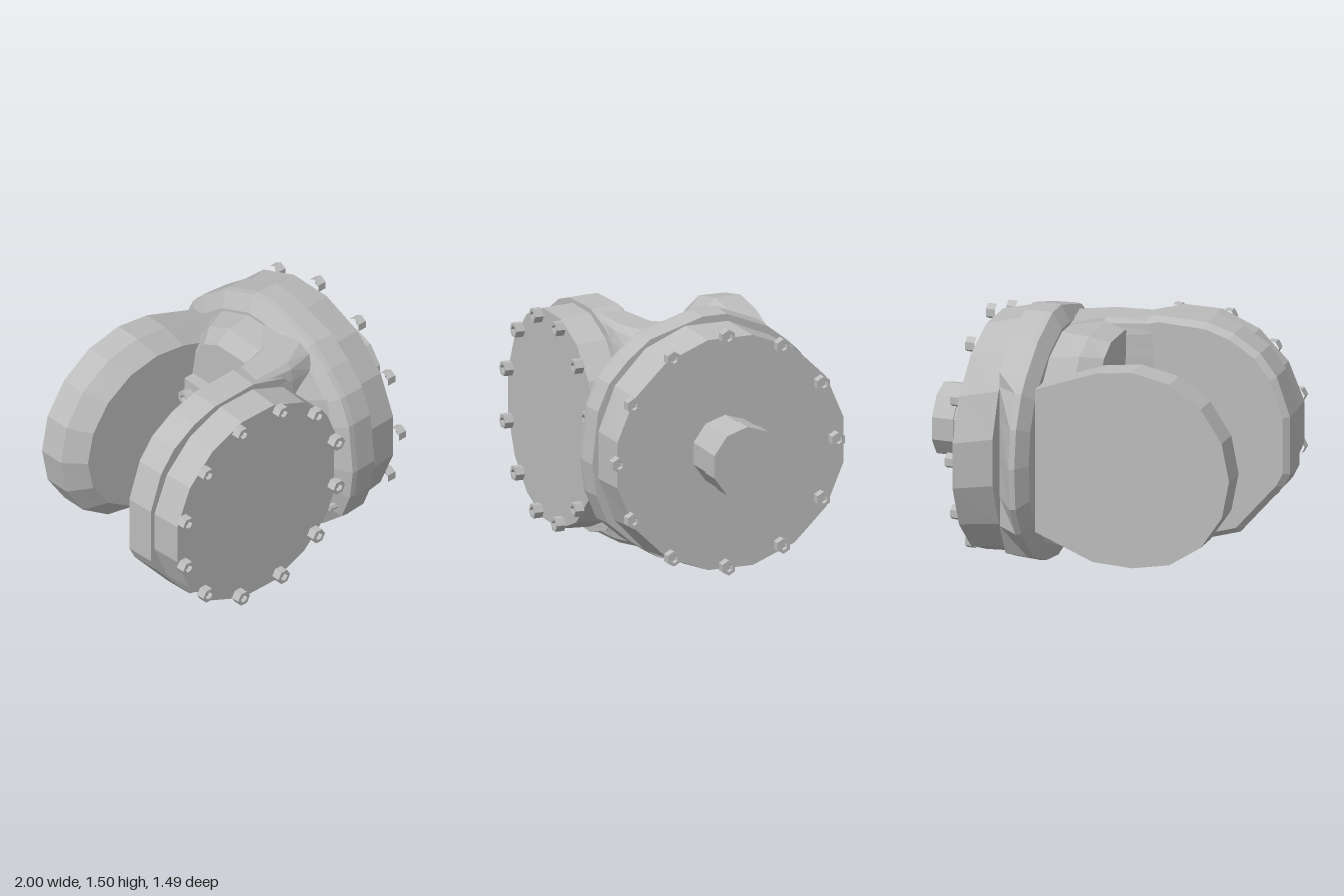
import * as THREE from 'three';

const CY = 0.745; // height of the shaft axis

// Uneven cast outlines: flange as [z, y], drum as [x, y]
const FLANGE = [
  [0.05, 1.5], [0.38, 1.4], [0.52, 1.29], [0.64, 1.16], [0.71, 1.0], [0.745, 0.69], [0.72, 0.5], [0.65, 0.33],
  [0.5, 0.2], [0.33, 0.09], [0.17, 0.04], [0, 0], [-0.2, 0.03], [-0.42, 0.12], [-0.62, 0.32], [-0.72, 0.5],
  [-0.74, 0.75], [-0.71, 0.98], [-0.62, 1.17], [-0.53, 1.26], [-0.35, 1.4], [-0.1, 1.5],
];
const DRUM = [
  [0.335, 0.72], [0.3, 0.98], [0.2, 1.19], [0.03, 1.35], [-0.2, 1.42], [-0.5, 1.41], [-0.66, 1.36], [-0.82, 1.26],
  [-0.92, 1.13], [-1, 0.9], [-1, 0.55], [-0.96, 0.47], [-0.7, 0.17], [-0.42, 0.085], [-0.2, 0.08], [0.03, 0.15],
  [0.2, 0.3], [0.3, 0.5],
];

// Skin a list of rings (each counter-clockwise seen from the last ring's side), with flat end caps
function loft(rings) {
  const pos = [];
  const tri = (a, b, c) => pos.push(...a, ...b, ...c);
  const n = rings[0].length;
  for (let i = 0; i < rings.length - 1; i++) {
    for (let j = 0; j < n; j++) {
      const k = (j + 1) % n;
      const [a, b, c, d] = [rings[i][j], rings[i][k], rings[i + 1][k], rings[i + 1][j]];
      tri(a, b, c);
      tri(a, c, d);
    }
  }
  const first = rings[0], last = rings[rings.length - 1];
  for (let j = 1; j < n - 1; j++) {
    tri(first[0], first[j + 1], first[j]);
    tri(last[0], last[j], last[j + 1]);
  }
  const g = new THREE.BufferGeometry();
  g.setAttribute('position', new THREE.Float32BufferAttribute(pos, 3));
  g.computeVertexNormals();
  return g;
}

// Superellipse ring across the x axis; a higher power gives a boxier section
function ringX(x, halfHeight, zMin, zMax, power = 2, cy = CY) {
  const n = 16, pts = [];
  const bend = (v) => Math.sign(v) * Math.pow(Math.abs(v), 2 / power);
  for (let i = 0; i < n; i++) {
    const a = ((i + 0.5) / n) * Math.PI * 2;
    const z = (zMin + zMax) / 2 + bend(Math.sin(a)) * (zMax - zMin) / 2;
    pts.push([x, cy + bend(Math.cos(a)) * halfHeight, z]);
  }
  return pts;
}

function lathe(profile, sides) {
  return new THREE.LatheGeometry(profile.map(([r, y]) => new THREE.Vector2(r, y)), sides, Math.PI / sides);
}

export function createModel() {
  const model = new THREE.Group();
  const metal = new THREE.MeshStandardMaterial({ color: 0xbcbcbc, flatShading: true });
  metal.name = 'cast grey metal';
  const add = (name, geometry, x = 0, y = 0, z = 0, parent = model) => {
    const mesh = new THREE.Mesh(geometry, metal);
    mesh.name = name;
    mesh.position.set(x, y, z);
    parent.add(mesh);
    return mesh;
  };

  // Housing that joins the two arms to the flange
  add('housing', loft([
    ringX(-0.03, 0.6, -0.27, 0.42, 3),
    ringX(0.09, 0.635, -0.4, 0.53, 2.8),
    ringX(0.25, 0.65, -0.54, 0.65, 2.3),
    ringX(0.32, 0.7, -0.68, 0.7, 2.1),
  ]));

  // Straight neck running level from the top and bottom of the drum into the flange
  add('neck', loft([
    ringX(-0.25, 0.66, 0.27, 0.455, 8),
    ringX(0.1, 0.65, 0.16, 0.465, 7),
    ringX(0.3, 0.65, -0.15, 0.45, 5),
    ringX(0.47, 0.66, -0.25, 0.43, 4),
  ]));

  // Side flange, cut away on its rear edge, and its cover
  const flangeRing = (x, s, rearLimit = -1) =>
    FLANGE.map(([z, y]) => [x, 0.75 + (y - 0.75) * s, Math.max(z * s, rearLimit)]);
  add('sideFlange', loft([
    flangeRing(0.25, 0.87), flangeRing(0.305, 0.995), flangeRing(0.34, 1), flangeRing(0.475, 0.99, -0.52),
  ]));
  add('sideCover', loft([
    ringX(0.47, 0.72, -0.66, 0.715),
    ringX(0.68, 0.695, -0.75, 0.685, 2, 0.73),
  ]));

  // Shaft hub
  const hub = lathe([[0, 0], [0.208, 0], [0.208, 0.19], [0.217, 0.19], [0.217, 0.32], [0, 0.32]], 10);
  hub.rotateZ(-Math.PI / 2);
  add('shaftHub', hub, 0.68, 0.75, 0);

  // Front drum with its raised cover
  const drumRing = (z, s) => DRUM.map(([x, y]) => [-0.333 + (x + 0.333) * s, 0.75 + (y - 0.75) * s, z]);
  add('frontDrum', loft([drumRing(0.25, 0.95), drumRing(0.28, 1), drumRing(0.455, 0.99)]));
  const cover = lathe([[0, 0.44], [0.645, 0.44], [0.635, 0.64], [0, 0.64]], 16);
  cover.rotateX(Math.PI / 2);
  add('frontCover', cover, -0.333, 0.75, 0);

  // Rear arm: rounded outer end, tapered root, chamfered inner edge
  const outline = [[0.25, 0.42], [-0.12, 0.56]];
  for (let i = 0; i <= 8; i++) {
    const a = Math.PI / 2 + (i / 8) * Math.PI;
    outline.push([-0.34 + 0.59 * Math.cos(a), 0.59 * Math.sin(a)]);
  }
  outline.push([-0.1, -0.58], [0.25, -0.44]);
  const armRing = (z, sx, sy) => outline.map(([x, y]) => [0.25 + (x - 0.25) * sx, 0.76 + y * sy, z]);
  add('rearArm', loft([armRing(-0.54, 1, 1), armRing(-0.38, 1, 1), armRing(-0.27, 0.907, 0.85)]));

  // Inner cover plate between the arms
  add('innerCover', new THREE.BoxGeometry(0.07, 0.56, 0.49), -0.065, CY, 0);

  // Socket-headed hexagonal bolts
  const bolt = lathe([[0.045, 0], [0.045, 0.055], [0.025, 0.055], [0.022, 0.03], [0, 0.03]], 6);
  const boltX = bolt.clone().rotateZ(-Math.PI / 2);
  const boltZ = bolt.clone().rotateX(Math.PI / 2);
  const boltBack = bolt.clone().rotateZ(Math.PI / 2);
  const sideBolts = new THREE.Group();
  sideBolts.name = 'sideCoverBolts';
  const frontBolts = new THREE.Group();
  frontBolts.name = 'frontCoverBolts';
  const innerBolts = new THREE.Group();
  innerBolts.name = 'innerCoverBolts';
  model.add(sideBolts, frontBolts, innerBolts);
  for (let i = 0; i < 12; i++) {
    const a = (i / 12) * Math.PI * 2, b = a + Math.PI / 12;
    add('sideBolt', boltX, 0.678, CY + 0.683 * Math.cos(a), 0.683 * Math.sin(a), sideBolts);
    add('frontBolt', boltZ, -0.335 + 0.6 * Math.cos(b), CY + 0.6 * Math.sin(b), 0.638, frontBolts);
  }
  for (const y of [-0.19, 0.19]) {
    for (const z of [-0.195, 0.185]) add('innerBolt', boltBack, -0.1, CY + y, z, innerBolts);
  }

  // Small drain pin low on the front of the housing
  const pin = new THREE.CylinderGeometry(0.02, 0.02, 0.1, 6);
  pin.rotateZ(Math.PI / 2);
  add('drainPin', pin, 0.28, 0.41, 0.62);

  return model;
}
